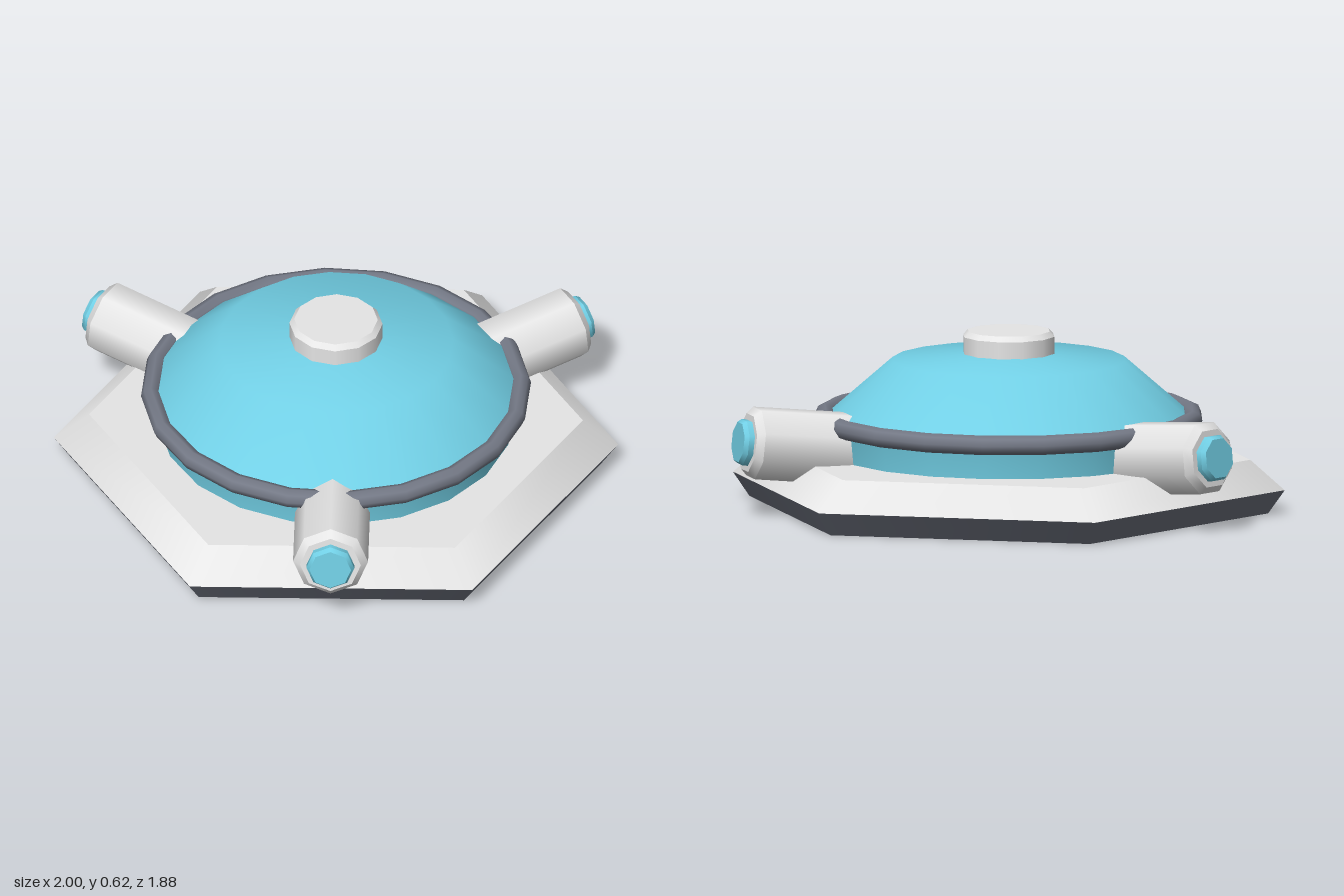
import * as THREE from 'three';

const OFFSET = THREE.MathUtils.degToRad(4.5); // shared facet offset of dome and ring

const material = (name, color, side = THREE.FrontSide) => {
  const m = new THREE.MeshStandardMaterial({ color, side });
  m.name = name;
  return m;
};

function add(parent, name, geometry, mat) {
  const mesh = new THREE.Mesh(geometry, mat);
  mesh.name = name;
  parent.add(mesh);
  return mesh;
}

// Flat disc closing a turned part, facing up or down
function disc(parent, name, [r, y], sides, mat, start, up) {
  const geometry = new THREE.CircleGeometry(r, sides, start - Math.PI / 2);
  geometry.rotateX(up ? -Math.PI / 2 : Math.PI / 2);
  geometry.translate(0, y, 0);
  add(parent, name, geometry, mat);
}

// Turned part from [radius, height] points: each band has its own sharp edges, closed on top
function turned(parent, name, points, sides, mat, start = 0) {
  const group = new THREE.Group();
  group.name = name;
  for (let i = 0; i < points.length - 1; i++) {
    const [r0, y0] = points[i], [r1, y1] = points[i + 1];
    const band = new THREE.CylinderGeometry(r1, r0, y1 - y0, sides, 1, true, start);
    band.translate(0, (y0 + y1) / 2, 0);
    add(group, name + 'Band', band, mat);
  }
  disc(group, name + 'Top', points[points.length - 1], sides, mat, start, true);
  parent.add(group);
}

export function createModel() {
  const grey = material('light grey', 0xe6e6e6);
  const dark = material('slate grey', 0x747986);
  const black = material('near black', 0x38383b);
  const blue = material('sky blue', 0x72d0e6, THREE.DoubleSide);

  const root = new THREE.Group();
  root.name = 'domedStation';
  const model = new THREE.Group();
  model.name = 'body';
  model.position.z = -0.077;
  root.add(model);

  // Hexagonal base: black underside, slate flared foot and light sloped deck
  disc(model, 'underside', [0.94, 0], 6, black, Math.PI / 6, false);
  turned(model, 'foot', [[0.94, 0], [1, 0.085]], 6, dark, Math.PI / 6);
  turned(model, 'deck', [[1, 0.085], [0.875, 0.19]], 6, grey, Math.PI / 6);

  // Smooth dome: upright wall, widest behind the ring, then a shallow roof
  const profile = [[0.63, 0.18], [0.64, 0.29], [0.655, 0.312], [0.415, 0.522], [0, 0.562]];
  const dome = new THREE.LatheGeometry(profile.map(([r, y]) => new THREE.Vector2(r, y)), 20, OFFSET);
  add(model, 'dome', dome, blue);

  // Ring around the dome
  const ring = new THREE.TorusGeometry(0.657, 0.035, 8, 20);
  ring.rotateZ(OFFSET);
  ring.rotateX(-Math.PI / 2);
  ring.translate(0, 0.315, 0);
  add(model, 'ring', ring, dark);

  // Hatch on top
  turned(model, 'hatch', [[0.165, 0.53], [0.165, 0.607], [0.148, 0.625]], 12, grey);

  // Three octagonal lamps, tilted slightly upward; the rear pair is rolled half a facet
  for (let i = 0; i < 3; i++) {
    const spin = new THREE.Group();
    spin.name = 'lamp' + (i + 1);
    spin.rotation.y = (i * Math.PI * 2) / 3;
    const barrel = new THREE.Group();
    barrel.name = 'barrel';
    barrel.position.set(0, 0.225, 0.55);
    barrel.rotation.x = Math.PI / 2 - THREE.MathUtils.degToRad(6);
    const roll = i === 0 ? 0 : Math.PI / 8;
    turned(barrel, 'housing', [[0.133, -0.05], [0.133, 0.4], [0.108, 0.425]], 8, grey, roll);
    turned(barrel, 'lens', [[0.085, 0.42], [0.085, 0.445], [0.074, 0.46]], 8, blue, roll);
    spin.add(barrel);
    model.add(spin);
  }
  return root;
}
